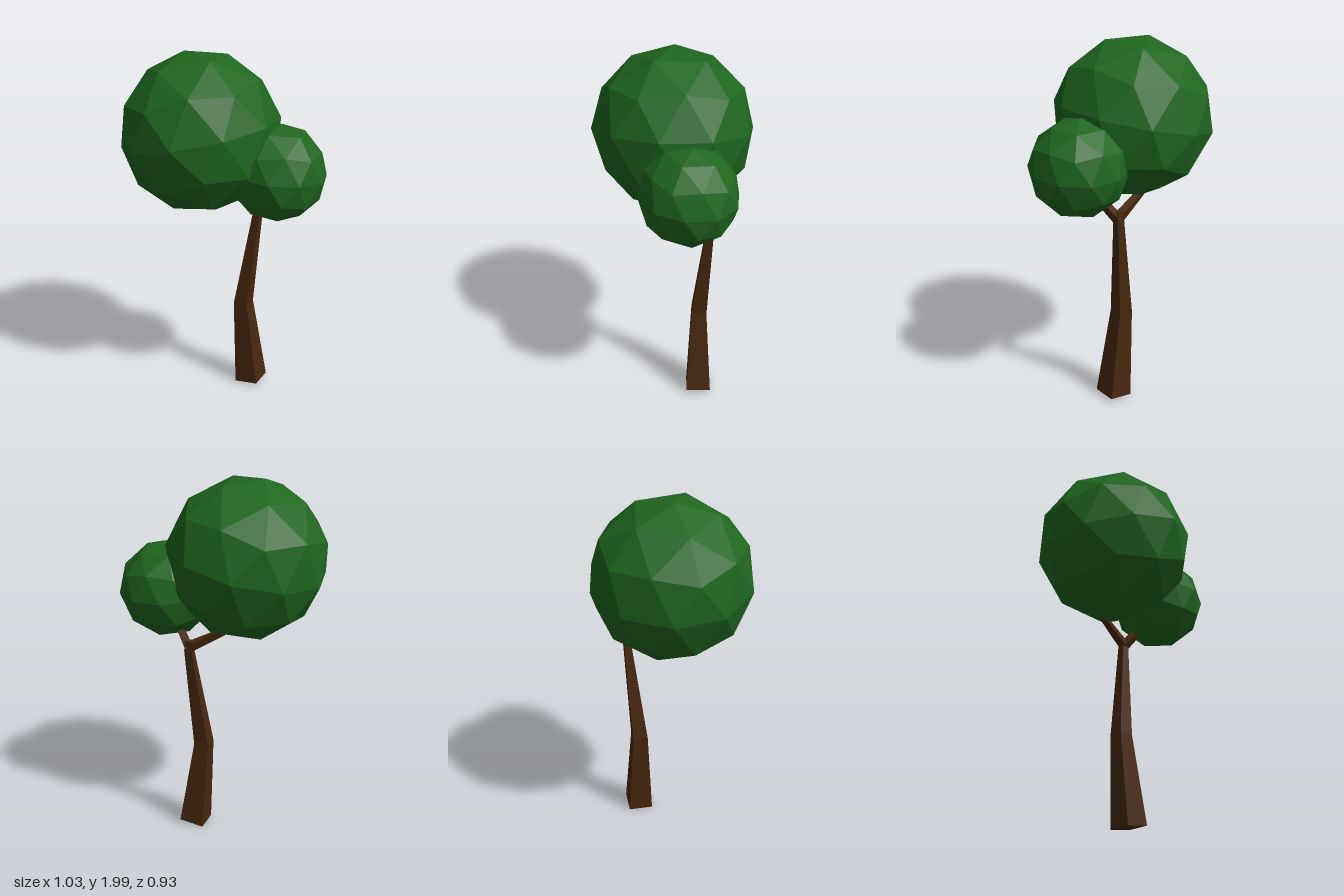
import * as THREE from 'three';

const leafMat = new THREE.MeshStandardMaterial({ color: 0x1f661f, flatShading: true });
const barkMat = new THREE.MeshStandardMaterial({ color: 0x47280f, flatShading: true });

// Orthonormal frame with its first axis on p and its second leaning toward q
function frame(p, q) {
  const a = p.clone().normalize();
  const b = q.clone().addScaledVector(a, -q.dot(a)).normalize();
  return new THREE.Matrix4().makeBasis(a, b, a.clone().cross(b));
}

// Faceted ball of leaves; pole and lean turn the facets
function crown(name, radius, centre, pole, lean) {
  const geo = new THREE.IcosahedronGeometry(radius, 1);
  const t = (1 + Math.sqrt(5)) / 2;
  const from = frame(new THREE.Vector3(-1, t, 0), new THREE.Vector3(1, t, 0));
  const to = frame(new THREE.Vector3(...pole), new THREE.Vector3(...lean));
  geo.applyMatrix4(to.multiply(from.invert()));
  const mesh = new THREE.Mesh(geo, leafMat);
  mesh.name = name;
  mesh.position.set(...centre);
  return mesh;
}

// Closed four-sided loft through rings of corner points
function loft(name, rings) {
  const pos = rings.flat(2), idx = [];
  for (let r = 0; r < rings.length - 1; r++) {
    for (let i = 0; i < 4; i++) {
      const a = r * 4 + i, b = r * 4 + (i + 1) % 4;
      idx.push(a, b, b + 4, a, b + 4, a + 4);
    }
  }
  const e = (rings.length - 1) * 4;
  idx.push(0, 2, 1, 0, 3, 2, e, e + 1, e + 2, e, e + 2, e + 3);
  let geo = new THREE.BufferGeometry();
  geo.setAttribute('position', new THREE.Float32BufferAttribute(pos, 3));
  geo.setIndex(idx);
  geo = geo.toNonIndexed();
  geo.computeVertexNormals();
  const mesh = new THREE.Mesh(geo, barkMat);
  mesh.name = name;
  return mesh;
}

// Square trunk section, turned a little; tilt lifts its right and back corners
function trunkRing(x, y, z, s, tilt = 0) {
  return [[-0.037, 0.09, 0], [0.09, 0.037, 1], [0.037, -0.09, 1], [-0.09, -0.037, 0]]
    .map(([dx, dz, up]) => [x + dx * s, y + tilt * up, z + dz * s]);
}

// Square tapered branch between two points
function branch(name, a, b, r0, r1) {
  const from = new THREE.Vector3(...a), to = new THREE.Vector3(...b);
  const dir = to.clone().sub(from);
  const mesh = new THREE.Mesh(new THREE.CylinderGeometry(r1, r0, dir.length(), 4), barkMat);
  mesh.name = name;
  mesh.position.copy(from).add(to).multiplyScalar(0.5);
  mesh.quaternion.setFromUnitVectors(new THREE.Vector3(0, 1, 0), dir.normalize());
  return mesh;
}

export function createModel() {
  const tree = new THREE.Group();
  tree.name = 'tree';

  // Bent trunk, thinning toward the fork
  tree.add(loft('trunk', [
    trunkRing(0.077, 0, -0.21, 1, 0.02),
    trunkRing(0.025, 0.515, -0.188, 0.61),
    trunkRing(0.06, 1.08, -0.257, 0.3),
    trunkRing(0.06, 1.135, -0.255, 0.28),
  ]));

  // Fork branches reaching into each crown
  tree.add(branch('largeCrownBranch', [0.06, 1.1, -0.255], [-0.1, 1.2, -0.15], 0.032, 0.022));
  tree.add(branch('smallCrownBranch', [0.06, 1.09, -0.255], [0.17, 1.22, -0.24], 0.032, 0.024));

  // Crowns
  tree.add(crown('largeCrown', 0.438, [-0.1, 1.565, 0.025], [-0.095, 0.424, 0.03], [-0.025, 0.35, 0.255]));
  tree.add(crown('smallCrown', 0.265, [0.26, 1.382, -0.21], [0, 1, -0.08], [0.31, 0, -0.95]));

  return tree;
}
